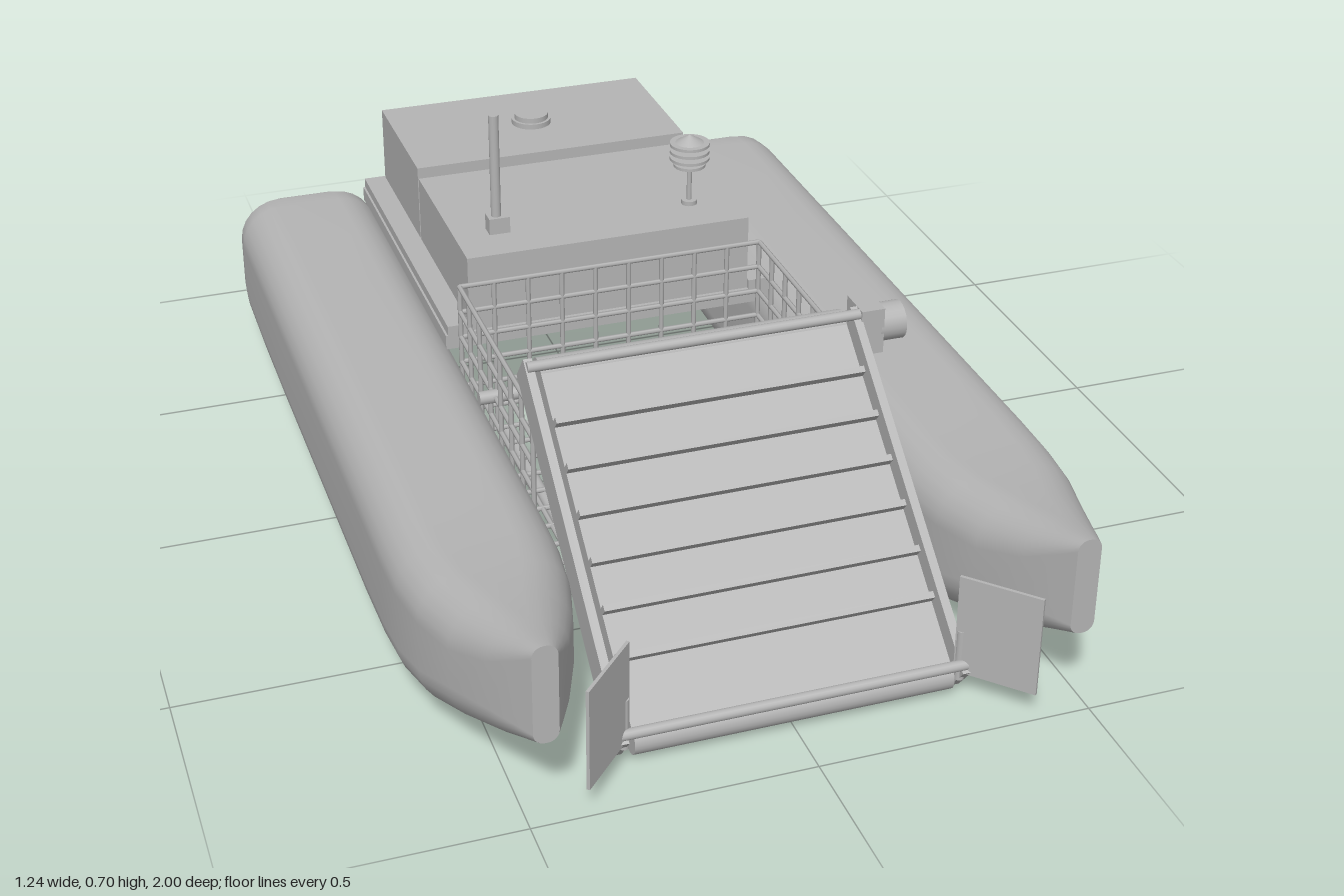
import * as THREE from 'three';

const grey = new THREE.MeshStandardMaterial({ color: 0xb4b4b4 });
const greyDouble = grey;

function add(parent, name, geometry, x = 0, y = 0, z = 0) {
  const mesh = new THREE.Mesh(geometry, grey);
  mesh.name = name;
  mesh.position.set(x, y, z);
  parent.add(mesh);
  return mesh;
}
const box = (p, name, w, h, d, x, y, z) => add(p, name, new THREE.BoxGeometry(w, h, d), x, y, z);

// Cylinder lying along the given axis
function rod(p, name, r, length, axis, x, y, z, sides = 16) {
  const g = new THREE.CylinderGeometry(r, r, length, sides);
  if (axis === 'x') g.rotateZ(Math.PI / 2);
  if (axis === 'z') g.rotateX(Math.PI / 2);
  return add(p, name, g, x, y, z);
}

// Rounded rectangle, counter-clockwise around x = 0
function section([z, half, low, high]) {
  const r = Math.min(0.085, half * 0.9);
  const points = [];
  const corners = [[1, high - r], [-1, high - r], [-1, low + r], [1, low + r]];
  corners.forEach(([side, cy], q) => {
    for (let i = 0; i <= 6; i++) {
      const a = (q + i / 6) * Math.PI / 2;
      points.push([side * (half - r) + r * Math.cos(a), cy + r * Math.sin(a), z]);
    }
  });
  return points;
}

// Skin through the hull stations, with a separate flat cap on each end
function hullGeometry() {
  const stations = [ // z, half width, bottom, top
    [-0.84, 0.138, 0.03, 0.292], [-0.825, 0.146, 0.024, 0.298], [-0.78, 0.15, 0.016, 0.3],
    [-0.6, 0.15, 0.004, 0.3], [-0.4, 0.15, 0, 0.3], [0, 0.15, 0, 0.3], [0.35, 0.15, 0, 0.3],
    [0.5, 0.15, 0.008, 0.3], [0.6, 0.147, 0.02, 0.301], [0.7, 0.134, 0.04, 0.306],
    [0.8, 0.107, 0.07, 0.315], [0.9, 0.07, 0.112, 0.33], [0.96, 0.042, 0.143, 0.342],
    [1, 0.022, 0.163, 0.35],
  ];
  const rings = stations.map(section);
  const n = rings[0].length;
  const pos = rings.flat(2);
  const index = [];
  for (let s = 0; s < rings.length - 1; s++) {
    for (let k = 0; k < n; k++) {
      const a = s * n + k, b = s * n + (k + 1) % n;
      index.push(a, b, a + n, b, b + n, a + n);
    }
  }
  for (const end of [0, rings.length - 1]) {
    const start = pos.length / 3;
    pos.push(...rings[end].flat());
    for (let k = 1; k < n - 1; k++) {
      index.push(start, ...(end ? [start + k, start + k + 1] : [start + k + 1, start + k]));
    }
  }
  const g = new THREE.BufferGeometry();
  g.setAttribute('position', new THREE.Float32BufferAttribute(pos, 3));
  g.setIndex(index);
  g.computeVertexNormals();
  return g;
}

function thruster() {
  const t = new THREE.Group();
  t.name = 'thruster';
  box(t, 'mountPlate', 0.11, 0.13, 0.014, 0, 0, -0.847);
  rod(t, 'motorBody', 0.04, 0.105, 'z', 0, 0, -0.9, 24);
  rod(t, 'motorNeck', 0.025, 0.02, 'z', 0, 0, -0.96);
  rod(t, 'propellerHub', 0.014, 0.04, 'z', 0, 0, -0.98);
  for (let i = 0; i < 3; i++) {
    const arm = new THREE.Group();
    arm.rotation.z = i * Math.PI * 2 / 3 + Math.PI / 6;
    box(arm, 'propellerBlade', 0.055, 0.026, 0.006, 0.038, 0, -0.983).rotation.x = 0.5;
    t.add(arm);
  }
  return t;
}

function conveyor() {
  const c = new THREE.Group();
  c.name = 'conveyor';
  const half = 0.334;
  box(c, 'belt', 0.58, 0.05, half * 2, 0, 0, 0);
  for (const z of [-half, half]) rod(c, 'endRoller', 0.028, 0.58, 'x', 0, 0, z, 24);
  for (let i = 0; i < 6; i++) box(c, 'cleat', 0.58, 0.022, 0.012, 0, 0.034, -0.225 + i * 0.086);
  for (const s of [-1, 1]) box(c, 'sideRail', 0.016, 0.07, 0.7, s * 0.31, 0, 0);
  for (const z of [-half, half]) rod(c, 'crossRod', 0.01, 0.63, 'x', 0, 0.035, z);
  c.rotation.x = Math.atan2(0.42, 0.52);
  c.position.set(0, 0.245, 0.615);
  return c;
}

// Open wire basket between the hulls
function basket() {
  const b = new THREE.Group();
  b.name = 'basket';
  const w = 0.31, back = -0.11, front = 0.39, low = 0.07, high = 0.4;
  const d = front - back, mid = (front + back) / 2, h = high - low, r = 0.005;
  const bars = (count, from, to, make) => {
    for (let i = 0; i <= count; i++) make(from + (to - from) * i / count);
  };
  bars(9, -w, w, x => rod(b, 'floorWire', r, d, 'z', x, low, mid, 6));
  bars(8, back, front, z => rod(b, 'floorWire', r, 2 * w, 'x', 0, low, z, 6));
  for (const s of [-w, w]) {
    bars(7, back, front, z => rod(b, 'sideWire', r, h, 'y', s, low + h / 2, z, 6));
    bars(6, low, high, y => rod(b, 'sideWire', r, d, 'z', s, y, mid, 6));
  }
  bars(9, -w, w, x => rod(b, 'backWire', r, h, 'y', x, low + h / 2, back, 6));
  bars(6, low, high, y => rod(b, 'backWire', r, 2 * w, 'x', 0, y, back, 6));
  for (const x of [-0.22, 0.22]) rod(b, 'floorTube', 0.011, d, 'z', x, low - 0.014, mid);
  rod(b, 'crossTube', 0.013, 0.68, 'x', 0, 0.288, 0.13);
  return b;
}

// Collected litter lying on the basket floor
function litter() {
  const l = new THREE.Group();
  l.name = 'litter';
  rod(l, 'can', 0.038, 0.13, 'y', 0.1, 0.142, 0.06, 20);
  rod(l, 'bottle', 0.027, 0.15, 'z', -0.12, 0.105, 0.22).rotation.y = 0.4;
  rod(l, 'smallBottle', 0.02, 0.09, 'x', -0.06, 0.1, 0.025).rotation.y = -0.6;
  const lump = new THREE.DodecahedronGeometry(0.1).toNonIndexed ? new THREE.DodecahedronGeometry(0.1) : null;
  add(l, 'crumpledBag', lump, 0.06, 0.13, 0.235).scale.set(1, 0.6, 0.9);
  rod(l, 'cup', 0.032, 0.1, 'z', 0.16, 0.15, 0.27).rotation.y = -0.3;
  return l;
}

export function createModel() {
  const model = new THREE.Group();
  model.name = 'waterCleaningBoat';

  // Hulls, thrusters, and slanted guides that lead to the conveyor
  const hull = hullGeometry();
  for (const s of [-1, 1]) {
    add(model, 'hull', hull, s * 0.47, 0, 0);
    const t = thruster();
    t.position.set(s * 0.47, 0.085, 0);
    model.add(t);
    const guide = box(model, 'guidePlate', 0.006, 0.195, 0.15, s * 0.348, 0.143, 0.938);
    guide.rotation.y = s * 0.76;
    rod(model, 'guideHinge', 0.009, 0.1, 'y', s * 0.305, 0.08, 0.888);
    box(model, 'deckRail', 0.045, 0.025, 0.72, s * 0.313, 0.302, -0.473);
  }

  // Deck and equipment boxes
  box(model, 'deck', 0.68, 0.03, 0.72, 0, 0.28, -0.473);
  box(model, 'rearBox', 0.58, 0.18, 0.318, 0, 0.382, -0.672);
  box(model, 'frontBox', 0.58, 0.16, 0.385, 0, 0.372, -0.313);
  rod(model, 'hatchCollar', 0.042, 0.012, 'y', 0, 0.477, -0.67, 32);
  rod(model, 'hatchCap', 0.036, 0.012, 'y', 0, 0.488, -0.67, 32);

  // Antenna
  box(model, 'antennaBase', 0.042, 0.035, 0.032, -0.2, 0.468, -0.222);
  rod(model, 'antenna', 0.01, 0.22, 'y', -0.203, 0.59, -0.222);

  // Weather sensor with stacked discs
  rod(model, 'sensorFoot', 0.016, 0.01, 'y', 0.2, 0.456, -0.222);
  rod(model, 'sensorPole', 0.005, 0.14, 'y', 0.2, 0.52, -0.222, 10);
  for (let i = 0; i < 4; i++) rod(model, 'sensorDisc', i ? 0.04 : 0.032, 0.006, 'y', 0.2, 0.538 + i * 0.015, -0.222, 28);
  rod(model, 'sensorCore', 0.018, 0.05, 'y', 0.2, 0.562, -0.222);
  add(model, 'sensorCap', new THREE.ConeGeometry(0.03, 0.018, 28), 0.2, 0.594, -0.222);

  // Conveyor with its drive motor
  model.add(conveyor());
  box(model, 'gearbox', 0.045, 0.09, 0.07, 0.338, 0.447, 0.355);
  rod(model, 'driveMotor', 0.036, 0.05, 'x', 0.381, 0.447, 0.355, 20);

  model.add(basket(), litter());
  return model;
}
